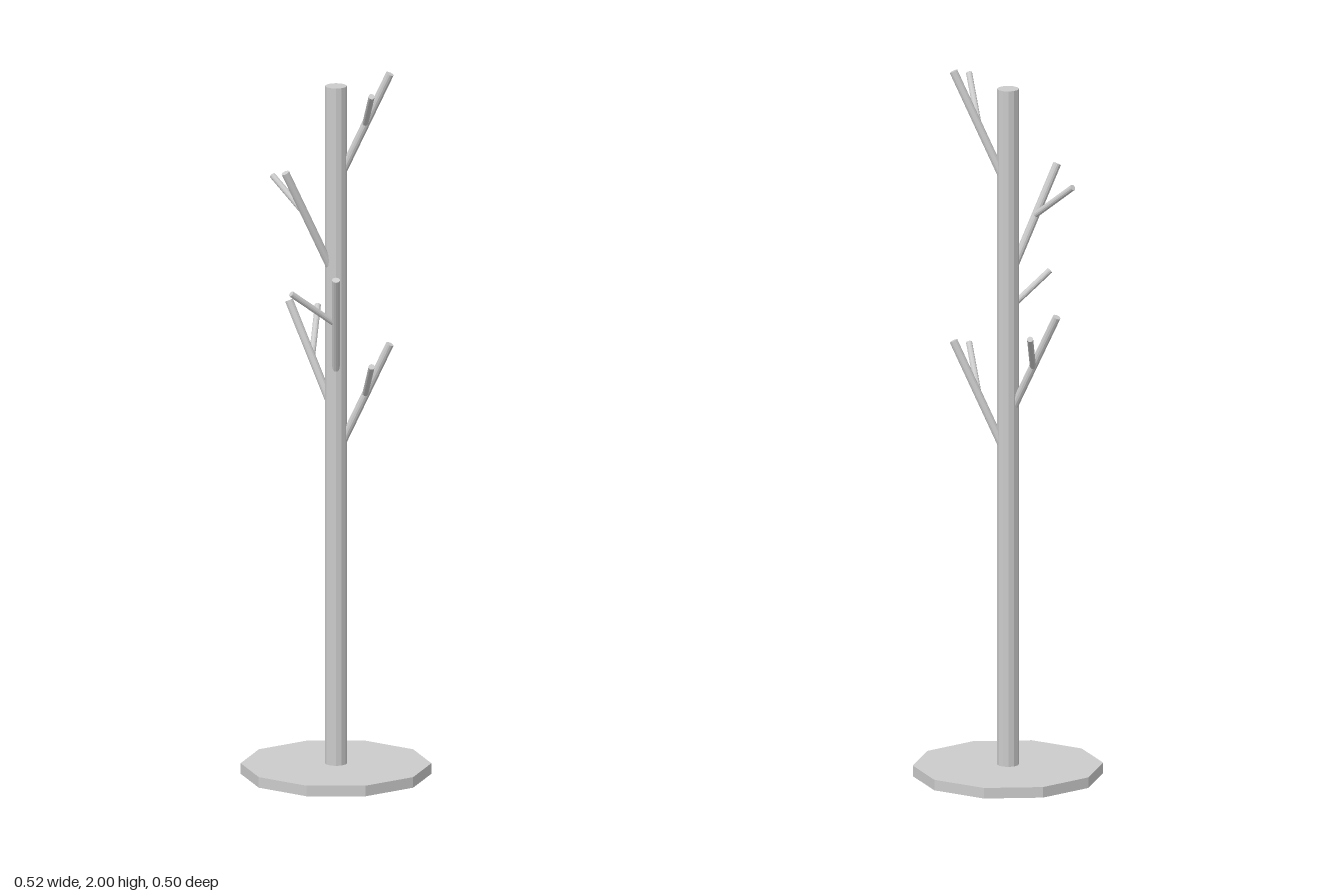
import * as THREE from 'three';

const material = new THREE.MeshStandardMaterial({ color: 0xcccccc, flatShading: true });

// Straight rod of constant radius between two points
function rod(name, from, to, radius, sides) {
  const a = new THREE.Vector3(...from);
  const b = new THREE.Vector3(...to);
  const dir = b.clone().sub(a);
  const mesh = new THREE.Mesh(
    new THREE.CylinderGeometry(radius, radius, dir.length(), sides, 1, false, Math.PI / 2), material);
  mesh.name = name;
  mesh.position.copy(a).add(b).multiplyScalar(0.5);
  mesh.quaternion.setFromUnitVectors(new THREE.Vector3(0, 1, 0), dir.normalize());
  return mesh;
}

// Each branch: start and tip, plus the start and tip of its side twig
const rightward = {
  from: [0.015, 1.70, -0.003], to: [0.148, 1.993, 0.034],
  twigFrom: [0.08, 1.845, 0.015], twigTo: [0.098, 1.957, 0.147],
};
const lower = ([x, y, z]) => [x, y - 0.766, z];
const branches = {
  topBranch: rightward,
  upperBranch: {
    from: [-0.014, 1.435, 0.007], to: [-0.139, 1.719, 0.061],
    twigFrom: [-0.078, 1.585, 0.024], twigTo: [-0.175, 1.682, -0.058],
  },
  frontBranch: {
    from: [0, 1.14, 0.014], to: [0, 1.438, 0.152],
    twigFrom: [0, 1.295, 0.082], twigTo: [-0.123, 1.395, 0.136],
  },
  backBranch: {
    from: [-0.014, 1.045, -0.008], to: [-0.129, 1.321, -0.084],
    twigFrom: [-0.066, 1.17, -0.045], twigTo: [-0.05, 1.284, -0.178],
  },
  lowBranch: Object.fromEntries(Object.entries(rightward).map(([k, p]) => [k, lower(p)])),
};

export function createModel() {
  const model = new THREE.Group();
  model.name = 'coatStand';

  // Ten-sided foot plate and the pole
  model.add(rod('base', [0, 0, 0], [0, 0.03, 0], 0.262, 10));
  model.add(rod('pole', [0, 0.02, 0], [0, 1.95, 0], 0.03, 12));

  // Branches with their twigs
  for (const [name, b] of Object.entries(branches)) {
    const group = new THREE.Group();
    group.name = name;
    group.add(rod('branch', b.from, b.to, 0.0112, 12));
    group.add(rod('twig', b.twigFrom, b.twigTo, 0.0085, 12));
    model.add(group);
  }
  return model;
}
